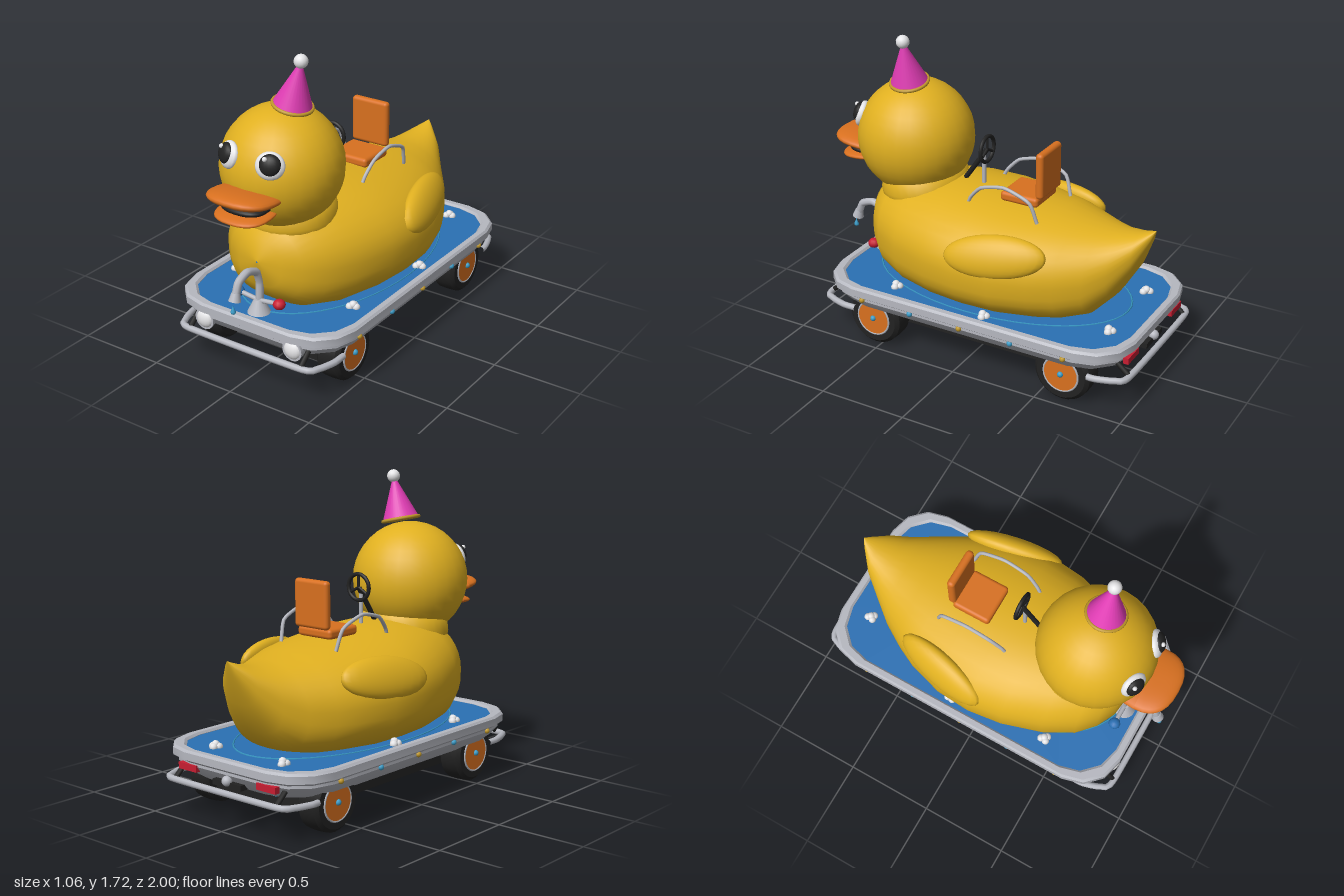
import * as THREE from 'three';
import { toCreasedNormals } from 'three/addons/utils/BufferGeometryUtils.js';
import { RoundedBoxGeometry } from 'three/addons/geometries/RoundedBoxGeometry.js';

const mat = (name, color) => new THREE.MeshStandardMaterial({ name, color });
const V = (x, y, z) => new THREE.Vector3(x, y, z);

// Skin over closed rings of equal point count
function loft(rings) {
  const n = rings[0].length, idx = [];
  for (let i = 0; i < rings.length - 1; i++) {
    for (let j = 0; j < n; j++) {
      const k = (j + 1) % n, a = i * n, b = a + n;
      idx.push(a + j, a + k, b + j, a + k, b + k, b + j);
    }
  }
  const g = new THREE.BufferGeometry().setFromPoints(rings.flat());
  g.setIndex(idx);
  g.computeVertexNormals();
  return g;
}

// Rounded rectangle ring around the tub, shrunk by inset
function tubRing(inset, y) {
  const hx = 0.53 - inset, hz = 0.92 - inset, r = Math.min(0.24, hx, hz), pts = [];
  for (let c = 0; c < 4; c++) {
    const cx = (c === 0 || c === 3 ? 1 : -1) * (hx - r), cz = (c < 2 ? -1 : 1) * (hz - r);
    for (let s = 0; s <= 3; s++) {
      const a = (c + s / 3) * Math.PI / 2;
      pts.push(V(cx + r * Math.cos(a), y, cz - r * Math.sin(a) - 0.055));
    }
  }
  return pts;
}

export function createModel() {
  const yellow = mat('duck yellow', 0xe0b020), orange = mat('orange', 0xd8701f);
  const silver = mat('silver', 0xb6b8c0), black = mat('black', 0x222222);
  const blue = mat('water blue', 0x2a70b4), sky = mat('light blue', 0x3a9cc8);
  const pink = mat('hat pink', 0xe03cb4), red = mat('red', 0xc81e32);
  const white = mat('white', 0xe6e6e8), gold = mat('gold', 0xc0982a);

  const model = new THREE.Group();
  const add = (name, geo, m, x = 0, y = 0, z = 0, parent = model) => {
    const mesh = new THREE.Mesh(geo, m);
    mesh.name = name;
    mesh.position.set(x, y, z);
    parent.add(mesh);
    return mesh;
  };
  const ball = (r, w = 16, h = 12) => new THREE.SphereGeometry(r, w, h);
  const tube = (name, pts, r, m, steps = 24) => add(name, new THREE.TubeGeometry(
    new THREE.CatmullRomCurve3(pts.map(p => V(...p)), false, 'catmullrom', 0.3), steps, r, 8), m);
  const rod = (name, a, b, r, m) => add(name, new THREE.TubeGeometry(new THREE.LineCurve3(V(...a), V(...b)), 1, r, 8), m);

  // Tub with raised rim, and the water in it
  const tubProfile = [[0.52, 0.21], [0.09, 0.21], [0.055, 0.235], [0.02, 0.285], [0.02, 0.3], [0, 0.315],
    [0, 0.355], [0.01, 0.367], [0.04, 0.367], [0.05, 0.355], [0.05, 0.34]];
  add('tub', toCreasedNormals(loft(tubProfile.map(p => tubRing(...p))), 0.6), silver);
  add('water', toCreasedNormals(loft([tubRing(0.045, 0.345), tubRing(0.046, 0.353), tubRing(0.52, 0.353)]), 0.6), blue);
  const ripple = add('ripple', new THREE.TorusGeometry(1, 0.008, 4, 48), sky, 0, 0.354, -0.04);
  ripple.rotation.x = Math.PI / 2;
  ripple.scale.set(0.43, 0.76, 0.6);
  add('chassis', new THREE.BoxGeometry(0.62, 0.12, 1.36), black, 0, 0.16, -0.05);
  add('rearStrip', new THREE.BoxGeometry(0.5, 0.01, 0.015), sky, 0, 0.207, -0.85);

  // Rivets and foam clusters
  for (const s of [1, -1]) {
    for (let i = 0; i < 5; i++) {
      add('rivet', ball(0.016, 10, 8), i % 2 ? sky : gold, s * 0.513, 0.293, 0.57 - i * 0.31);
    }
    for (const [x, z] of [[0.38, 0.43], [0.43, -0.15], [0.24, -0.8]]) {
      for (let k = 0; k < 4; k++) {
        const a = k * 1.7 + s;
        add('foam', new THREE.IcosahedronGeometry(0.022, 1), white,
          s * x + (k ? 0.017 * Math.cos(a) : 0), k ? 0.358 : 0.37, z + (k ? 0.02 * Math.sin(a) : 0));
      }
    }
  }

  // Wheels
  const tyre = new THREE.LatheGeometry([[0.09, -0.07], [0.14, -0.07], [0.16, -0.05], [0.163, 0], [0.16, 0.05],
    [0.14, 0.07], [0.1, 0.07], [0.095, 0.06], [0, 0.06]].map(p => new THREE.Vector2(...p)), 28);
  for (const s of [1, -1]) {
    for (const z of [0.535, -0.635]) {
      const wheel = new THREE.Group();
      wheel.name = 'wheel';
      wheel.position.set(s * 0.39, 0.163, z);
      wheel.rotation.z = -s * Math.PI / 2;
      model.add(wheel);
      add('tyre', toCreasedNormals(tyre, 0.6), black, 0, 0, 0, wheel);
      add('wheelDisc', new THREE.CylinderGeometry(0.097, 0.097, 0.14, 24), orange, 0, 0.003, 0, wheel);
      add('wheelTrim', new THREE.TorusGeometry(0.1, 0.006, 6, 24), silver, 0, 0.07, 0, wheel).rotation.x = Math.PI / 2;
      add('hubCap', ball(0.017, 10, 8), sky, 0, 0.073, 0, wheel);
    }
  }

  // Bumpers, lights and hitch
  for (const [name, end, sx, inner] of [['frontBumper', 0.878, 1, 0.65], ['rearBumper', -0.982, -1, -0.79]]) {
    const half = [[0.468, 0.2, inner], [0.468, 0.2, end - sx * 0.15], [0.435, 0.2, end - sx * 0.05], [0.36, 0.2, end]];
    tube(name, [...half, ...half.map(([x, y, z]) => [-x, y, z]).reverse()], 0.018, silver, 48);
    for (const s of [1, -1]) rod('bumperMount', [s * 0.36, 0.2, end], [s * 0.36, 0.27, end - sx * 0.08], 0.014, black);
  }
  for (const s of [1, -1]) {
    add('headlightBezel', new THREE.CylinderGeometry(0.06, 0.05, 0.06, 20), silver, s * 0.285, 0.265, 0.815).rotation.x = Math.PI / 2;
    add('headlight', ball(0.052), white, s * 0.285, 0.265, 0.835).scale.z = 0.6;
    add('tailLight', new THREE.BoxGeometry(0.13, 0.035, 0.03), red, s * 0.28, 0.275, -0.95);
  }
  add('hitchBracket', new THREE.BoxGeometry(0.2, 0.03, 0.05), black, 0, 0.235, -0.935);
  add('hitchBall', ball(0.028), silver, 0, 0.255, -0.955);

  // Duck body: [z, bottom, top, half width] from tail to breast
  const stations = [[-0.94, 0.868, 0.87, 0.002], [-0.92, 0.8, 0.862, 0.035], [-0.85, 0.63, 0.838, 0.125],
    [-0.75, 0.465, 0.825, 0.205], [-0.65, 0.36, 0.83, 0.285], [-0.52, 0.32, 0.85, 0.365], [-0.4, 0.31, 0.87, 0.425],
    [-0.2, 0.3, 0.89, 0.485], [0, 0.3, 0.91, 0.5], [0.2, 0.3, 0.92, 0.475], [0.42, 0.31, 0.91, 0.405],
    [0.58, 0.35, 0.88, 0.32], [0.67, 0.42, 0.83, 0.23], [0.725, 0.5, 0.77, 0.135], [0.75, 0.64, 0.65, 0.005]];
  const pw = (v, e) => Math.sign(v) * Math.abs(v) ** e;
  add('body', loft(stations.map(([z, lo, hi, w]) => Array.from({ length: 36 }, (_, j) => {
    const a = j / 18 * Math.PI, e = Math.sin(a) < 0 ? 0.75 : 0.97;
    return V(w * pw(Math.cos(a), e), (lo + hi) / 2 + (hi - lo) / 2 * pw(Math.sin(a), e), z);
  }))), yellow);
  for (const s of [1, -1]) {
    const wing = add('wing', ball(1, 24, 16), yellow, s * 0.412, 0.718, -0.21);
    wing.scale.set(0.065, 0.118, 0.28);
    wing.rotation.set(0.1, s * 0.22, s * 0.4, 'YXZ');
  }

  // Neck collar and head
  const collar = add('neck', new THREE.LatheGeometry([[0.22, -0.1], [0.255, -0.07], [0.262, -0.02], [0.25, 0.05], [0.2, 0.09]]
    .map(p => new THREE.Vector2(...p)), 32), yellow, 0, 0.86, 0.46);
  collar.rotation.x = 0.1;
  collar.scale.z = 0.93;
  add('head', ball(0.325, 28, 20), yellow, 0, 1.11, 0.515);

  // Eyes
  for (const s of [1, -1]) {
    const eye = new THREE.Group();
    eye.name = 'eye';
    eye.position.set(s * 0.127, 1.225, 0.785);
    eye.rotation.set(-0.3, s * 0.42, 0, 'YXZ');
    model.add(eye);
    add('eyeWhite', ball(1), white, 0, 0, 0, eye).scale.set(0.077, 0.072, 0.035);
    add('pupil', ball(1), black, s * 0.003, 0.006, 0.02, eye).scale.set(0.056, 0.055, 0.03);
    add('eyeGlint', ball(0.013, 10, 8), white, -0.02, 0.035, 0.043, eye);
  }

  // Bill with a squared-off plan
  const bill = (name, m, w, h, d, y, z, tilt) => {
    const g = ball(1, 28, 14), p = g.attributes.position;
    for (let i = 0; i < p.count; i++) p.setXYZ(i, pw(p.getX(i), 0.8) * w, p.getY(i) * h, pw(p.getZ(i), 0.8) * d);
    g.computeVertexNormals();
    add(name, g, m, 0, y, z).rotation.x = tilt;
  };
  bill('upperBill', orange, 0.188, 0.04, 0.165, 1.045, 0.833, -0.12);
  bill('mouth', black, 0.13, 0.03, 0.1, 0.99, 0.82, 0);
  bill('lowerBill', orange, 0.155, 0.027, 0.14, 0.957, 0.825, 0.08);

  // Party hat, tilted to the side
  const hat = new THREE.Group();
  hat.name = 'partyHat';
  hat.position.set(0.065, 1.44, 0.51);
  hat.rotation.z = -0.225;
  model.add(hat);
  add('hatCone', new THREE.CylinderGeometry(0.012, 0.105, 0.23, 28), pink, 0, 0.115, 0, hat);
  add('hatBand', new THREE.TorusGeometry(0.103, 0.01, 8, 28), gold, 0, 0.004, 0, hat).rotation.x = Math.PI / 2;
  add('hatPompom', ball(0.037), white, 0, 0.25, 0, hat);

  // Seat and grab rails
  add('seatCushion', new RoundedBoxGeometry(0.235, 0.055, 0.225, 3, 0.02), orange, 0, 0.917, -0.19);
  add('seatBack', new RoundedBoxGeometry(0.23, 0.26, 0.045, 3, 0.02), orange, 0, 1.073, -0.308);
  for (const s of [1, -1]) {
    tube('grabRail', [[s * 0.195, 0.88, 0.07], [s * 0.2, 0.92, 0.05], [s * 0.212, 0.99, -0.02], [s * 0.215, 1.02, -0.16],
      [s * 0.21, 0.965, -0.305], [s * 0.195, 0.85, -0.345]], 0.01, silver);
  }

  // Steering wheel
  add('steeringWheel', new THREE.TorusGeometry(0.072, 0.011, 8, 28), black, 0, 1.115, 0.065);
  for (let i = 0; i < 3; i++) {
    const a = Math.PI / 2 + i * Math.PI * 2 / 3;
    rod('spoke', [0, 1.115, 0.065], [0.07 * Math.cos(a), 1.115 + 0.07 * Math.sin(a), 0.065], 0.008, black);
  }
  rod('steeringColumn', [0, 0.92, 0.2], [0, 1.115, 0.065], 0.014, black);
  rod('steeringPost', [0, 0.88, 0.085], [0, 1.09, 0.085], 0.012, silver);

  // Tap with two knobs and a drip
  add('tapBase', new THREE.CylinderGeometry(0.025, 0.062, 0.075, 20), silver, 0, 0.39, 0.74);
  tube('tapSpout', [[0, 0.4, 0.735], [0, 0.52, 0.728], [0, 0.59, 0.755], [0, 0.62, 0.83], [0, 0.595, 0.9], [0, 0.54, 0.925]], 0.022, silver, 32);
  add('tapNozzle', new THREE.CylinderGeometry(0.022, 0.033, 0.045, 16), silver, 0, 0.525, 0.932).rotation.x = -0.25;
  const drip = new THREE.LatheGeometry([[0, -0.025], [0.012, -0.018], [0.014, -0.008], [0.006, 0.01], [0, 0.028]]
    .map(p => new THREE.Vector2(...p)), 12);
  add('drip', drip, sky, 0, 0.457, 0.952);
  for (const [s, m] of [[1, red], [-1, blue]]) {
    rod('tapArm', [0, 0.42, 0.74], [s * 0.12, 0.435, 0.74], 0.013, silver);
    add('tapKnob', ball(0.034, 10, 8), m, s * 0.132, 0.435, 0.74).scale.y = 0.85;
  }
  return model;
}
